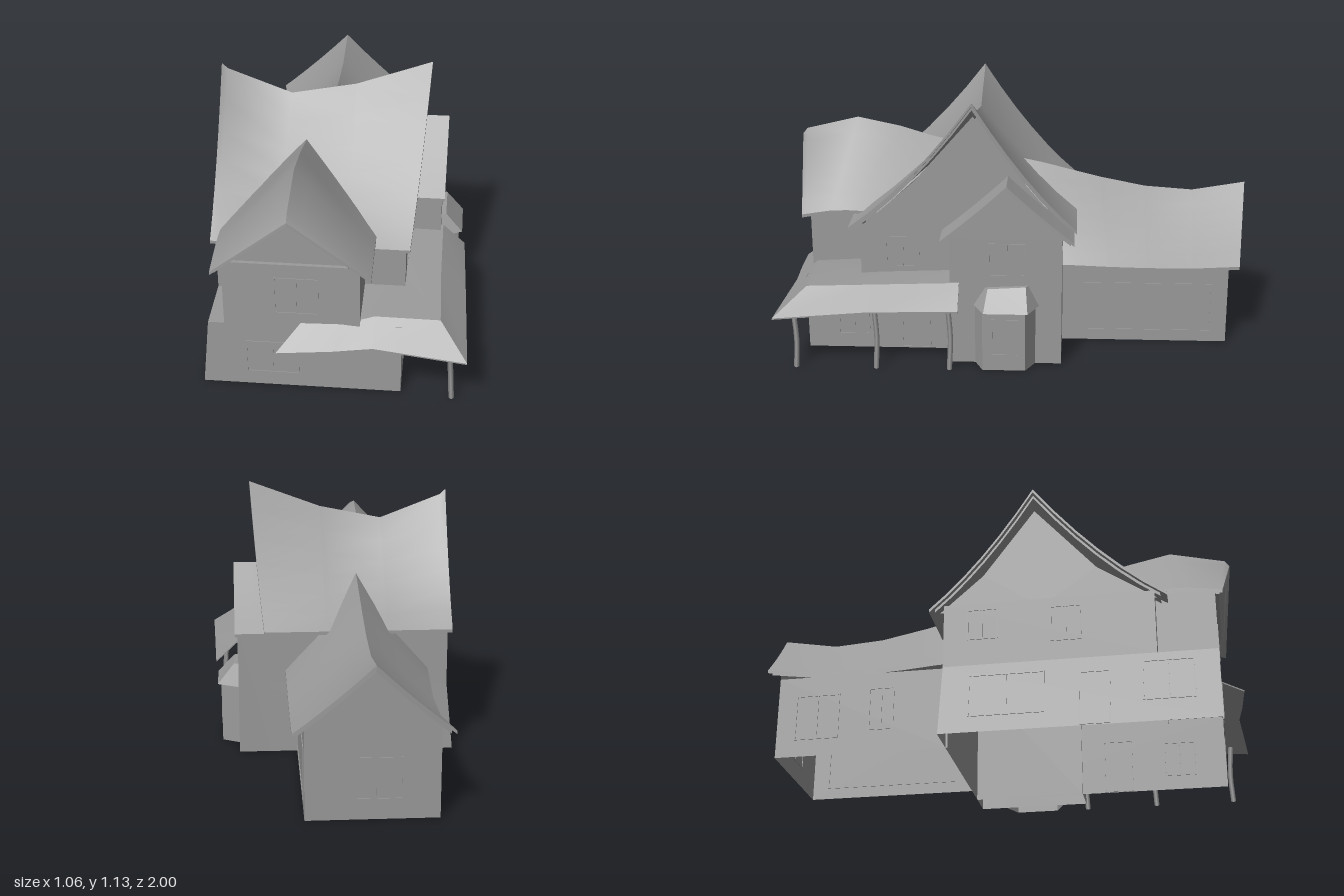
import * as THREE from 'three';
import { toCreasedNormals } from 'three/addons/utils/BufferGeometryUtils.js';

const material = new THREE.MeshStandardMaterial({ color: 0x9b9b9b, side: THREE.DoubleSide });
const V = (x, y, z) => new THREE.Vector3(x, y, z);

function meshFrom(name, positions) {
  const g = new THREE.BufferGeometry();
  g.setAttribute('position', new THREE.Float32BufferAttribute(positions, 3));
  const m = new THREE.Mesh(toCreasedNormals(g, 0.6), material);
  m.name = name;
  return m;
}

// Triangles of a surface spanned by rows of points
function gridTris(rows, flip = false) {
  const out = [];
  const tri = (a, b, c) => (flip ? [a, c, b] : [a, b, c]).forEach(p => out.push(p.x, p.y, p.z));
  for (let i = 0; i < rows.length - 1; i++) {
    for (let j = 0; j < rows[i].length - 1; j++) {
      const a = rows[i][j], b = rows[i + 1][j], c = rows[i + 1][j + 1], d = rows[i][j + 1];
      tri(a, b, c);
      tri(a, c, d);
    }
  }
  return out;
}

// Sheet with thickness: top, underside and four edges
function shell(name, rows, thickness, flip) {
  const low = rows.map(r => r.map(p => p.clone().setY(p.y - thickness)));
  const last = rows.length - 1, end = rows[0].length - 1;
  const pos = [...gridTris(rows, flip), ...gridTris(low, !flip),
    ...gridTris([rows[0], low[0]], !flip), ...gridTris([rows[last], low[last]], flip),
    ...gridTris([rows.map(r => r[0]), low.map(r => r[0])], flip),
    ...gridTris([rows.map(r => r[end]), low.map(r => r[end])], !flip)];
  return meshFrom(name, pos);
}

// One sagging roof slope with a stepped trim layer beneath it
function slope(name, ridge, eave, sag, flip) {
  const build = (drop, tMax, inset) => {
    const n = ridge.length - 1;
    const pull = pts => pts.map((p, i) => {
      const q = i === 0 ? pts[1] : i === n ? pts[n - 1] : p;
      const d = p.distanceTo(q);
      return d ? p.clone().lerp(q, inset / d) : p.clone();
    });
    const r = pull(ridge), e = pull(eave);
    return r.map((p, i) => Array.from({ length: 7 }, (_, k) => {
      const t = tMax * k / 6, v = p.clone().lerp(e[i], t);
      v.y -= sag * 4 * t * (1 - t) + drop;
      return v;
    }));
  };
  const g = new THREE.Group();
  g.name = name;
  g.add(shell('roofing', build(0, 1, 0), 0.014, flip), shell('roofTrim', build(0.014, 0.95, 0.015), 0.014, flip));
  return g;
}

// Open walls from a bottom loop and a top loop
function walls(name, bottom, top) {
  return meshFrom(name, gridTris([[...bottom, bottom[0]], [...top, top[0]]], true));
}
const box = (name, x0, x1, z0, z1, y0, y1) => {
  const loop = y => [V(x0, y, z0), V(x1, y, z0), V(x1, y, z1), V(x0, y, z1)];
  return walls(name, loop(y0), loop(y1));
};

// Flat polygon fanned from its first point
function panel(name, pts) {
  const pos = [];
  for (let i = 1; i < pts.length - 1; i++) [pts[0], pts[i], pts[i + 1]].forEach(p => pos.push(p.x, p.y, p.z));
  return meshFrom(name, pos);
}

// Thin frame on a wall; angle turns it from facing +z, lean follows a flared wall
function windowFrame(name, x, y, z, w, h, angle, { mullion = true, lean = 0 } = {}) {
  const g = new THREE.Group(), t = 0.005;
  g.name = name;
  const bar = (bx, by, bw, bh) => {
    const m = new THREE.Mesh(new THREE.BoxGeometry(bw, bh, 0.006), material);
    m.name = 'frameBar';
    m.position.set(bx, by, 0);
    g.add(m);
  };
  for (const s of [-1, 1]) {
    bar(s * w / 2, 0, t, h + t);
    bar(0, s * h / 2, w + t, t);
  }
  if (mullion) bar(0, 0, t, h);
  g.position.set(x, y, z);
  g.rotation.set(0, angle, lean, 'ZYX');
  return g;
}

export function createModel() {
  const house = new THREE.Group();
  house.name = 'house';

  // Main roof, ridge along x
  const ridge = [[-0.53, 1.08], [-0.505, 1.057], [-0.24, 0.955], [0.03, 1.01], [0.34, 1.125]].map(([x, y]) => V(x, y, 0.175));
  const eaveX = [-0.512, -0.485, -0.24, 0.02, 0.287];
  house.add(slope('mainRoofFront', ridge, eaveX.map(x => V(x, 0.56, 0.71)), 0.045, true),
    slope('mainRoofBack', ridge, eaveX.map(x => V(x, 0.56, -0.26)), 0.04, false));

  // Front gable roof, ridge along z
  const fRidge = [[0.97, 0.84], [0.95, 0.865], [0.72, 0.92], [0.53, 0.88], [0.4, 0.84], [0.28, 0.81]].map(([z, y]) => V(-0.165, y, z));
  const fEave = [[0.93, 0.567], [0.915, 0.57], [0.8, 0.588], [0.73, 0.59], [0.66, 0.587], [0.6, 0.58]];
  house.add(slope('frontGableRoofLeft', fRidge, fEave.map(([z, y]) => V(0.15, y, z)), 0, true),
    slope('frontGableRoofRight', fRidge, fEave.map(([z, y]) => V(-0.476, y, z)), 0, false));

  // Rear wing roof
  const wRidge = [[-1, 0.655], [-0.77, 0.615], [-0.56, 0.63], [-0.36, 0.67], [-0.1, 0.735], [0.02, 0.76]].map(([z, y]) => V(-0.117, y, z));
  const wEave = [[-0.96, 0.375, -0.43], [-0.76, 0.363, -0.395], [-0.56, 0.362, -0.393], [-0.4, 0.365, -0.403], [-0.26, 0.37, -0.412], [-0.18, 0.372, -0.415]];
  house.add(slope('wingRoofLeft', wRidge, wEave.map(([z, y]) => V(0.198, y, z)), 0.008, false),
    slope('wingRoofRight', wRidge, wEave.map(([z, y, x]) => V(x, y, z)), 0.008, true));

  // Side gable roof
  const sRidge = [0.25, 0.33, 0.415].map(x => V(x, 0.795, 0.03));
  for (const [name, z, flip] of [['sideGableRoofFront', 0.31, true], ['sideGableRoofBack', -0.25, false]])
    house.add(slope(name, sRidge, [0.25, 0.33, 0.412].map(x => V(x, 0.552, z)), 0.006, flip));

  // Ground floor with a flared right-hand wall
  house.add(walls('groundFloor',
    [V(-0.53, 0, -0.21), V(0.27, 0, -0.2), V(0.27, 0, 0.9), V(-0.53, 0, 0.9)],
    [V(-0.5, 0.3, -0.2), V(0.27, 0.325, -0.2), V(0.27, 0.325, 0.9), V(-0.5, 0.3, 0.9)]));
  house.add(panel('ledge', [V(-0.5, 0.3, 0.64), V(-0.5, 0.3, 0.9), V(-0.43, 0.3, 0.9), V(-0.43, 0.3, 0.64)]));

  // Upper floor and its gable ends
  house.add(box('upperFloor', -0.5, 0.27, -0.2, 0.66, 0.3, 0.575));
  for (const [x, top] of [[-0.485, 1.0], [0.27, 1.05]])
    house.add(panel('mainGableWall', [V(x, 0.55, 0.2), V(x, 0.55, 0.67), V(x, top - 0.29, 0.43), V(x, top, 0.175), V(x, top - 0.29, -0.04), V(x, 0.55, -0.22)]));

  // Projecting front room
  house.add(box('frontRoom', -0.435, 0.105, 0.6, 0.9, 0.3, 0.59),
    panel('frontGableWall', [V(-0.45, 0.575, 0.9), V(0.12, 0.575, 0.9), V(-0.165, 0.83, 0.9)]));
  const sill = new THREE.Mesh(new THREE.BoxGeometry(0.455, 0.006, 0.02), material);
  sill.name = 'gableSill';
  sill.position.set(-0.167, 0.605, 0.905);
  house.add(sill);

  // Rear wing, wall tops tucked under the eaves
  house.add(walls('wingWalls',
    [V(-0.38, 0, -0.92), V(0.15, 0, -0.92), V(0.15, 0, -0.2), V(-0.38, 0, -0.2)],
    [V(-0.38, 0.35, -0.92), V(0.15, 0.375, -0.92), V(0.15, 0.375, -0.2), V(-0.38, 0.35, -0.2)]),
    panel('wingGableWall', [V(0.15, 0.375, -0.92), V(-0.38, 0.35, -0.92), V(-0.38, 0.375, -0.92), V(-0.117, 0.61, -0.92), V(0.15, 0.385, -0.92)]));

  // Side room
  house.add(box('sideRoom', 0.26, 0.4, -0.2, 0.27, 0, 0.565),
    panel('sideGableWall', [V(0.4, 0.56, 0.28), V(0.4, 0.56, -0.21), V(0.4, 0.768, 0.03)]));

  // Bay window with hipped cap
  const bay = y => [V(0.4, y, -0.09), V(0.475, y, -0.05), V(0.475, y, 0.13), V(0.4, y, 0.165)];
  const bayEave = [V(0.4, 0.265, -0.105), V(0.493, 0.265, -0.06), V(0.493, 0.265, 0.125), V(0.4, 0.265, 0.17)];
  const bayTop = [V(0.4, 0.357, -0.06), V(0.42, 0.357, -0.05), V(0.42, 0.346, 0.11), V(0.4, 0.346, 0.12)];
  house.add(walls('bayWalls', bay(0), bay(0.27)), walls('bayRoof', bayEave, bayTop),
    panel('bayRoofTop', [...bayTop].reverse()), panel('bayRoofUnderside', bayEave));

  // Wrap-around porch roof: outer edge, hip line, wall line
  const porch = [
    [V(-0.22, 0.235, 0.99), V(-0.13, 0.32, 0.9), V(-0.13, 0.32, 0.88)],
    [V(0, 0.25, 0.98), V(0.03, 0.325, 0.9), V(0.03, 0.325, 0.87)],
    [V(0.09, 0.258, 0.972), V(0.105, 0.337, 0.88), V(0.1, 0.337, 0.87)],
    [V(0.16, 0.265, 0.967), V(0.16, 0.35, 0.87), V(0.1, 0.35, 0.64)],
    [V(0.53, 0.245, 1), V(0.42, 0.348, 0.87), V(0.26, 0.35, 0.64)],
    [V(0.517, 0.275, 0.6), V(0.412, 0.355, 0.6), V(0.26, 0.357, 0.55)],
    [V(0.505, 0.278, 0.23), V(0.41, 0.368, 0.23), V(0.26, 0.37, 0.23)],
  ];
  house.add(shell('porchRoof', porch, 0.006, true));

  // Slightly bent porch posts
  for (const [z, h] of [[0.92, 0.25], [0.58, 0.28], [0.27, 0.28]]) {
    const path = new THREE.CatmullRomCurve3([V(0.475, 0, z), V(0.468, h * 0.5, z - 0.006), V(0.46, h, z + 0.004)]);
    const post = new THREE.Mesh(new THREE.TubeGeometry(path, 6, 0.011, 4), material);
    post.name = 'porchPost';
    house.add(post);
  }

  // Windows and doors
  const L = Math.PI / 2, plain = { mullion: false }, lean = -0.1;
  house.add(
    windowFrame('frontLowerWindow', -0.245, 0.14, 0.9, 0.21, 0.15, 0),
    windowFrame('frontUpperWindow', -0.145, 0.45, 0.9, 0.17, 0.165, 0),
    windowFrame('porchWindow', 0.27, 0.14, 0.7, 0.13, 0.15, L),
    windowFrame('porchDoor', 0.27, 0.12, 0.43, 0.12, 0.23, L, plain),
    windowFrame('upperSideWindow', 0.27, 0.45, 0.48, 0.14, 0.13, L),
    windowFrame('sideRoomWindow', 0.4, 0.47, 0.03, 0.15, 0.14, L),
    windowFrame('bayPane', 0.475, 0.15, 0.035, 0.11, 0.16, L),
    windowFrame('wingBackWindow', -0.13, 0.17, -0.92, 0.2, 0.17, 0),
    windowFrame('upperWallWindow', -0.5, 0.48, -0.04, 0.12, 0.13, L),
    windowFrame('upperWallWindow', -0.5, 0.46, 0.3, 0.12, 0.15, L),
    windowFrame('lowerWallWindow', -0.514, 0.16, 0.06, 0.3, 0.18, L, { lean }),
    windowFrame('backDoor', -0.518, 0.12, 0.41, 0.12, 0.23, L, { ...plain, lean }),
    windowFrame('lowerWallWindow', -0.512, 0.18, 0.7, 0.2, 0.17, L, { lean }),
    windowFrame('wingWindow', -0.38, 0.17, -0.75, 0.18, 0.19, L),
    windowFrame('wingWindow', -0.38, 0.19, -0.48, 0.1, 0.18, L),
    windowFrame('wingSidePanel', 0.15, 0.16, -0.56, 0.58, 0.22, L, plain));

  return house;
}
